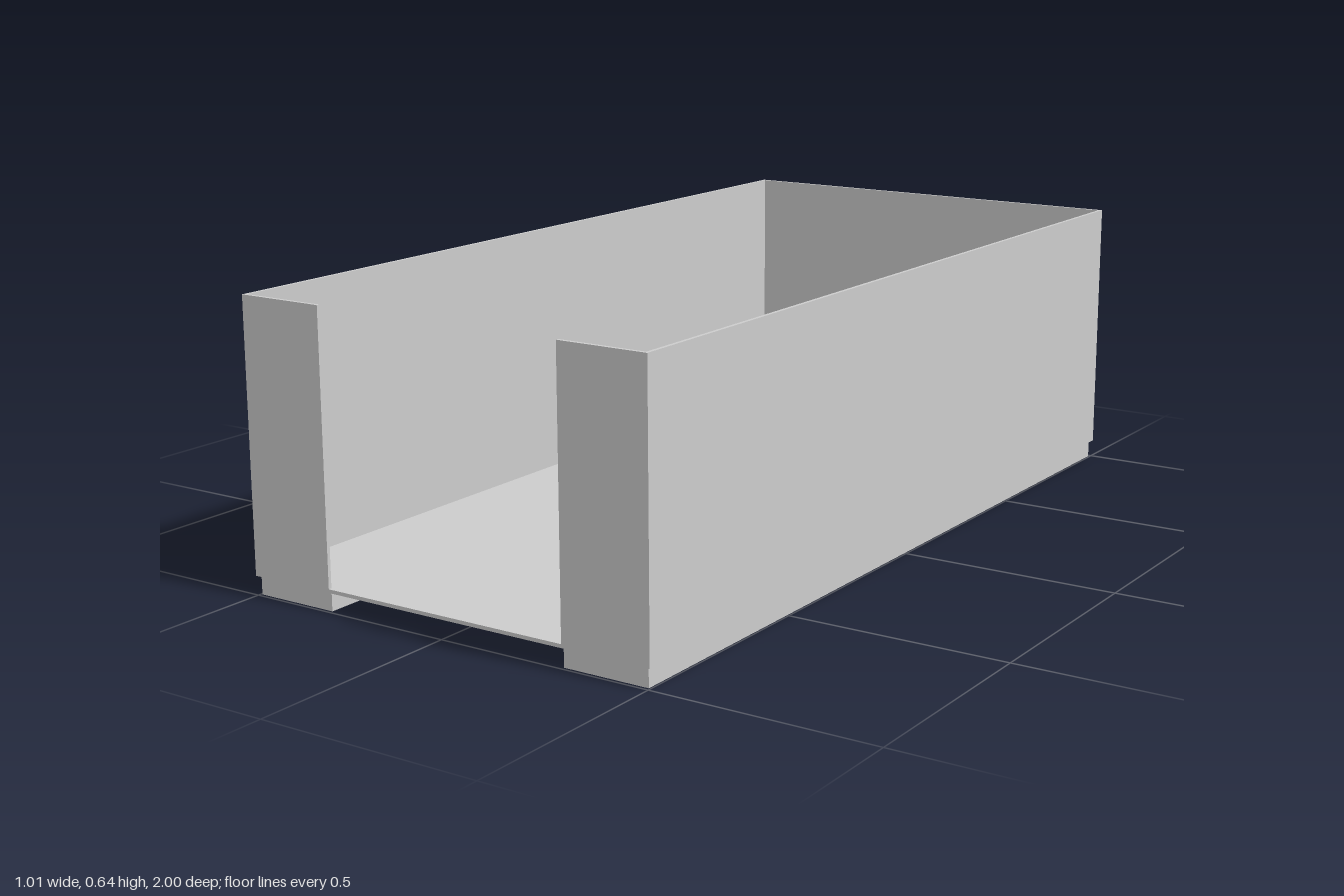
import * as THREE from 'three';

const W = 0.504, L = 1;               // outer half width and half length
const T = 0.008;                      // sheet thickness
const BOTTOM = 0.042, FLOOR = 0.05, TOP = 0.643;
const NOTCH = 0.298, NOTCH_BACK = -0.797;

export function createModel() {
  const group = new THREE.Group();
  const material = new THREE.MeshStandardMaterial({ color: 0xcccccc, flatShading: true });

  // box given by its low and high corner
  const box = (name, x0, x1, y0, y1, z0, z1) => {
    const mesh = new THREE.Mesh(new THREE.BoxGeometry(x1 - x0, y1 - y0, z1 - z0), material);
    mesh.position.set((x0 + x1) / 2, (y0 + y1) / 2, (z0 + z1) / 2);
    mesh.name = name;
    group.add(mesh);
  };

  // U-shaped base, open to the front; the shape's y runs along -z
  const bw = W - T, bl = L - T;
  const outline = [
    [-bw, -bl], [-NOTCH, -bl], [-NOTCH, -NOTCH_BACK], [NOTCH, -NOTCH_BACK],
    [NOTCH, -bl], [bw, -bl], [bw, bl], [-bw, bl],
  ].map(([x, y]) => new THREE.Vector2(x, y));
  const baseGeometry = new THREE.ExtrudeGeometry(new THREE.Shape(outline), { depth: FLOOR, bevelEnabled: false });
  baseGeometry.rotateX(-Math.PI / 2);
  const base = new THREE.Mesh(baseGeometry, material);
  base.name = 'base';
  group.add(base);

  // thin floor bridging the gap in the base
  box('floorPanel', -NOTCH, NOTCH, BOTTOM, FLOOR, NOTCH_BACK, L);

  // walls wrapped around the base
  box('backWall', -W, W, BOTTOM, TOP, -L, -L + T);
  box('leftWall', W - T, W, BOTTOM, TOP, -L + T, L - T);
  box('rightWall', -W, -W + T, BOTTOM, TOP, -L + T, L - T);

  // front returns either side of the opening
  box('frontLeftWall', NOTCH, W, BOTTOM, TOP, L - T, L);
  box('frontRightWall', -W, -NOTCH, BOTTOM, TOP, L - T, L);

  return group;
}
